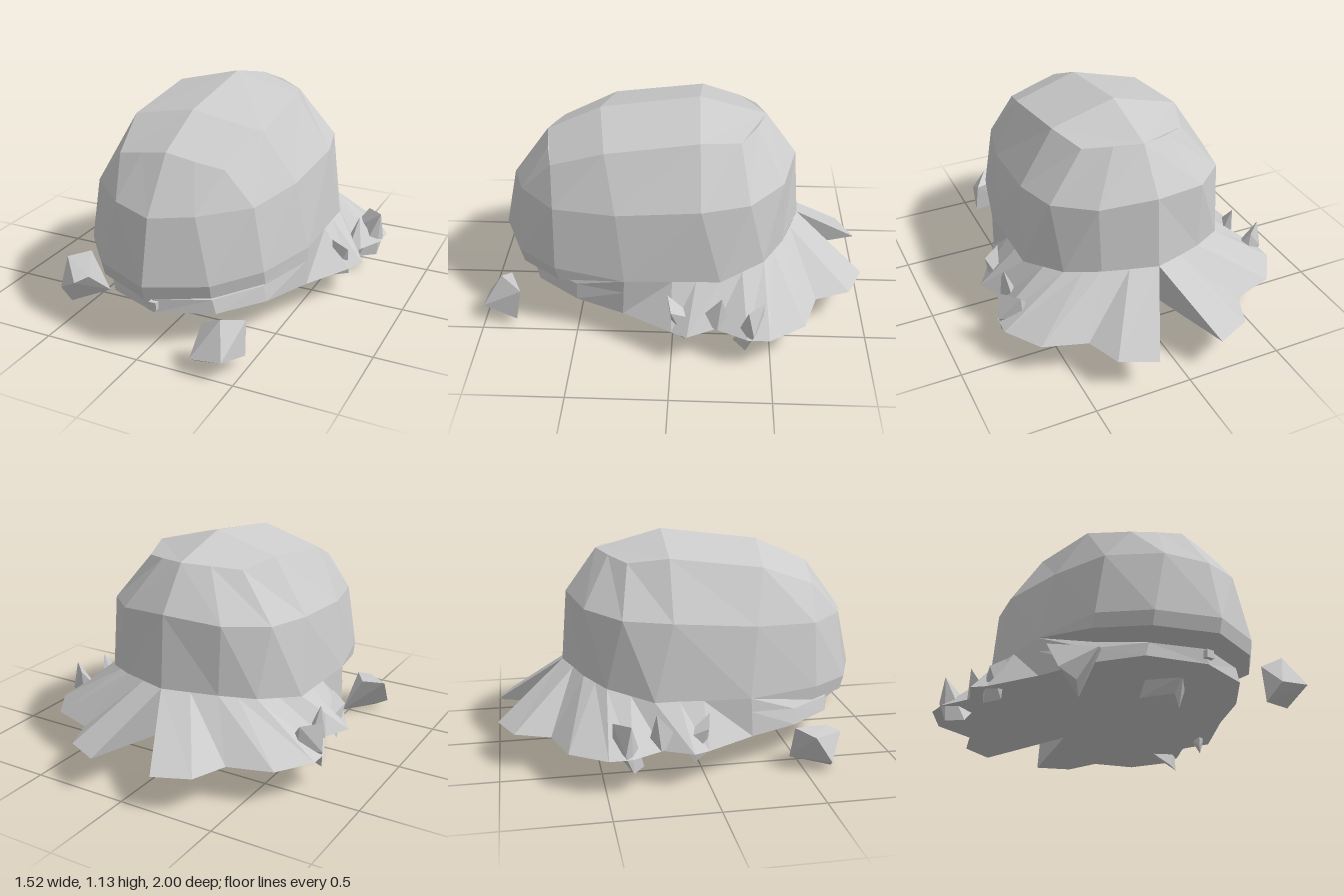
import * as THREE from 'three';
import { ConvexGeometry } from 'three/addons/geometries/ConvexGeometry.js';

const material = new THREE.MeshStandardMaterial({ color: 0xcccccc, flatShading: true });

// Turns triangles of the +x half into a mirrored, faceted mesh
function mirroredMesh(name, triangles) {
  const positions = [];
  const p = new THREE.Triangle();
  for (const [a, b, c] of triangles) {
    p.a.fromArray(a); p.b.fromArray(b); p.c.fromArray(c);
    if (p.getArea() < 1e-6) continue;
    positions.push(...a, ...b, ...c);
    for (const v of [a, c, b]) positions.push(-v[0], v[1], v[2]);
  }
  const geometry = new THREE.BufferGeometry();
  geometry.setAttribute('position', new THREE.Float32BufferAttribute(positions, 3));
  geometry.computeVertexNormals();
  const mesh = new THREE.Mesh(geometry, material);
  mesh.name = name;
  return mesh;
}

// Joins half rings, listed from the lowest to the highest, each running front to back
function loft(rings) {
  const triangles = [];
  for (let r = 0; r < rings.length - 1; r++) {
    const lo = rings[r], hi = rings[r + 1];
    for (let i = 0; i < lo.length - 1; i++) {
      triangles.push([lo[i], lo[i + 1], hi[i + 1]], [lo[i], hi[i + 1], hi[i]]);
    }
  }
  return triangles;
}

function rock(name, points, side = 1) {
  const mesh = new THREE.Mesh(
    new ConvexGeometry(points.map(([x, y, z]) => new THREE.Vector3(x * side, y, z))), material);
  mesh.name = name;
  return mesh;
}

export function createModel() {
  const model = new THREE.Group();
  model.name = 'shell';

  // Dome: rim, waist, shoulder and the ridge along the middle
  const rim = [[0, .35, .93], [.29, .36, .81], [.475, .38, .6], [.56, .37, .24],
    [.56, .38, -.24], [.43, .42, -.46], [.27, .44, -.56], [0, .45, -.65]];
  const waist = [[0, .67, .86], [.21, .69, .79], [.42, .7, .6], [.5, .72, .28],
    [.52, .76, -.14], [.46, .77, -.38], [.28, .79, -.55], [0, .82, -.62]];
  const shoulder = [[0, .93, .67], [.14, .9, .65], [.28, .87, .62], [.35, .98, .34],
    [.34, 1.04, -.13], [.27, 1.01, -.33], [.14, 1.03, -.41], [0, 1.04, -.46]];
  const ridgeFront = [0, .93, .67], ridgeBack = [0, 1.04, -.46];
  const ridge = [ridgeFront, ridgeFront, ridgeFront, [0, 1.06, .39],
    [0, 1.13, -.12], ridgeBack, ridgeBack, ridgeBack];
  model.add(mirroredMesh('dome', loft([rim, waist, shoulder, ridge])));

  // Front lip, the groove beneath it, and the jaw
  const jawBottom = [[0, .16, .82], [.28, .17, .72], [.45, .17, .5], [.56, .17, .25]];
  const jawTop = [[0, .235, .82], [.26, .24, .72], [.43, .25, .5], [.56, .3, .24]];
  const groove = [[0, .25, .76], [.25, .26, .68], [.4, .29, .5], [.56, .37, .24]];
  const lip = [[0, .28, .91], [.29, .29, .79], [.475, .31, .58], [.56, .37, .24]];
  model.add(mirroredMesh('lipAndJaw', loft([jawBottom, jawTop, groove, lip, rim.slice(0, 4)])));

  // Ragged skirt with a notch at the back
  const skirtTop = [[.56, .37, .24], [.56, .375, 0], [.56, .38, -.12], [.56, .38, -.24],
    [.495, .4, -.35], [.43, .42, -.46], [.35, .43, -.51], [.27, .44, -.56],
    [.14, .445, -.605], [0, .45, -.65]];
  const skirtEdge = [[.56, .17, .25], [.7, .17, 0], [.75, .18, -.08], [.68, .18, -.22],
    [.76, .18, -.38], [.76, .18, -.49], [.64, .18, -.67], [.42, .18, -.74],
    [.35, .18, -.92], [.17, .18, -1]];
  const notch = [0, .17, -.42];
  model.add(mirroredMesh('skirt', [
    ...loft([skirtEdge, skirtTop]), [skirtTop[9], skirtEdge[9], notch]]));

  // Flat underside
  const outline = [...jawBottom, ...skirtEdge.slice(1), notch];
  const centre = [0, .165, .2];
  model.add(mirroredMesh('underside',
    outline.slice(1).map((point, i) => [centre, point, outline[i]])));

  // Small stud on the jaw
  const stud = new THREE.Mesh(new THREE.BoxGeometry(.04, .04, .04), material);
  stud.name = 'jawStud';
  stud.position.set(0, .205, .82);
  model.add(stud);

  // Loose rocks in front and the lump under the belly
  model.add(rock('leftFrontRock', [[.28, .2, .87], [.27, .01, .9], [.28, .08, 1],
    [.44, .1, 1], [.48, .05, .82], [.47, .22, .79], [.39, .26, .9]]));
  model.add(rock('rightFrontRock', [[-.59, .21, .46], [-.69, .19, .54], [-.68, .05, .63],
    [-.6, 0, .65], [-.53, .15, .72], [-.475, .005, .47], [-.48, .17, .66]]));
  model.add(rock('bellyLump', [[-.12, .17, .5], [.12, .17, .5], [-.12, .09, .45],
    [.12, .09, .45], [0, .17, .64], [0, .17, .36], [0, .1, .57]]));

  // Shards along both sides of the skirt
  const waistPoint = [.655, .22, -.13];
  for (const [label, side] of [['left', 1], ['right', -1]]) {
    model.add(rock(label + 'RearShard', [[.57, .2, -.4], [.66, .33, -.46], [.75, .34, -.38],
      [.76, .2, -.41], [.66, .1, -.31], [.74, .1, -.37], [.65, .2, -.46]], side));
    model.add(rock(label + 'FrontShard', [waistPoint, [.61, .33, .02], [.69, .28, 0],
      [.62, .12, 0], [.68, .11, -.07]], side));
    model.add(rock(label + 'MiddleShard', [waistPoint, [.6, .2, -.25], [.67, .36, -.25],
      [.69, .18, -.23], [.65, .24, -.28]], side));
  }
  return model;
}
